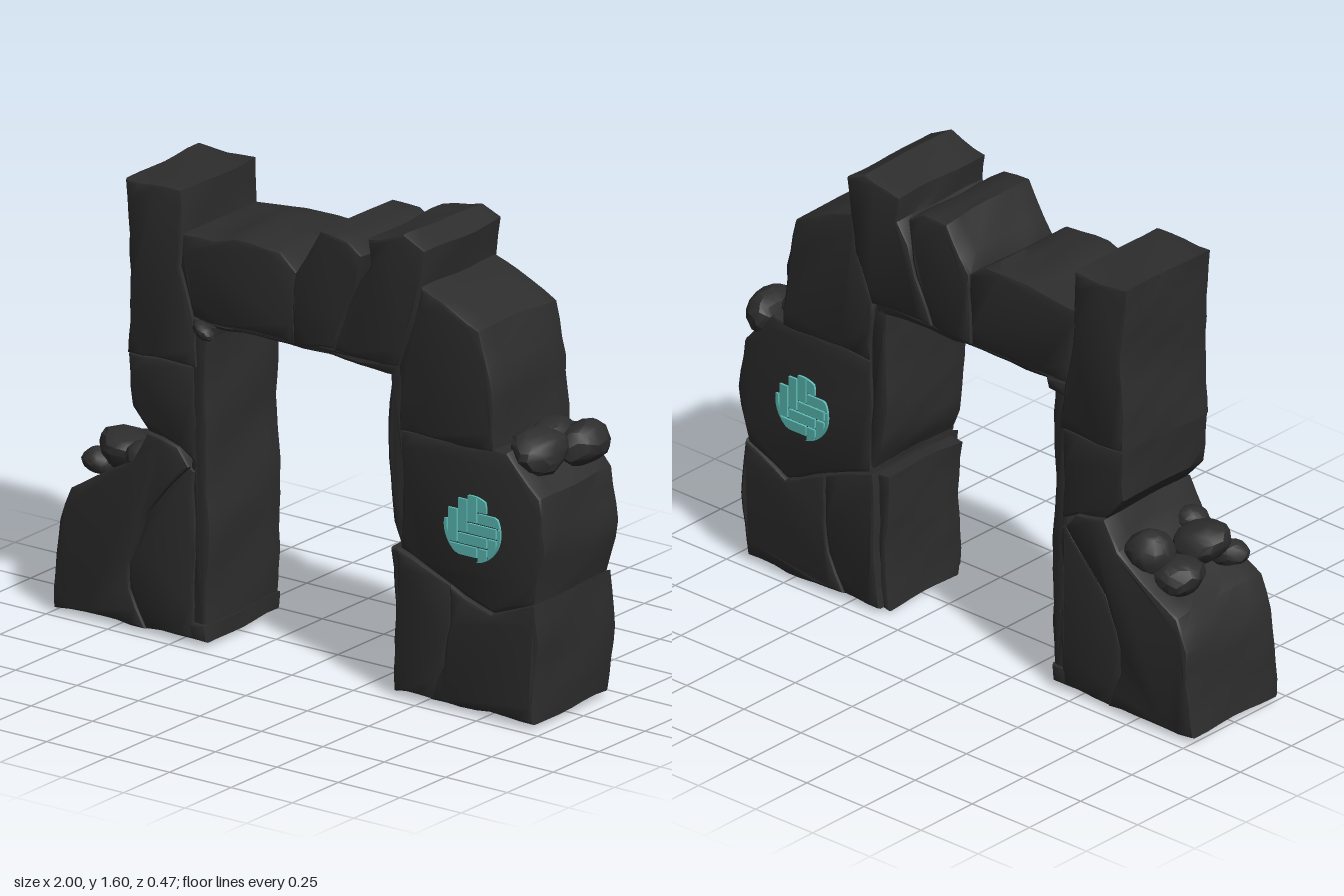
import * as THREE from 'three';
import { toCreasedNormals } from 'three/addons/utils/BufferGeometryUtils.js';

const stone = new THREE.MeshStandardMaterial({ color: 0x2d2d2d });
stone.name = 'dark stone';
const teal = new THREE.MeshStandardMaterial({ color: 0x5cbcb6 });
teal.name = 'teal inlay';

// Gentle wear: a smooth wobble of position, so neighbouring stones still meet
function weather(geometry, amount, zAmount = amount) {
  const p = geometry.attributes.position;
  for (let i = 0; i < p.count; i++) {
    const x = p.getX(i), y = p.getY(i), z = p.getZ(i);
    p.setXYZ(i,
      x + amount * (Math.sin(17 * y + 9 * z) + 0.5 * Math.sin(41 * y - 23 * z)),
      y + amount * (Math.sin(19 * x - 11 * z + 1) + 0.5 * Math.sin(37 * x + 21 * z)),
      z + zAmount * Math.sin(13 * x + 2) * Math.sin(15 * y + 1));
  }
  return toCreasedNormals(geometry, 0.6);
}

// Split outline edges into short runs so the wear shows
function subdivide(points) {
  const out = [];
  points.forEach(([x, y], i) => {
    const [u, v] = points[(i + 1) % points.length];
    const n = Math.max(1, Math.round(Math.hypot(u - x, v - y) / 0.06));
    for (let k = 0; k < n; k++) {
      out.push(new THREE.Vector2(x + (u - x) * k / n, y + (v - y) * k / n));
    }
  });
  return out;
}

// Stone block: front outline through the depth of the arch, with worn edges
function block(name, points, half = 0.21, bevel = 0.012, zWear = 0.004) {
  const geometry = new THREE.ExtrudeGeometry(new THREE.Shape(subdivide(points)), {
    depth: 2 * (half - bevel), steps: 6, bevelEnabled: true, bevelSize: bevel,
    bevelThickness: bevel, bevelOffset: -bevel, bevelSegments: 2,
  });
  geometry.translate(0, 0, bevel - half);
  const mesh = new THREE.Mesh(weather(geometry, 0.004, zWear), stone);
  mesh.name = name;
  return mesh;
}

// Loose lump of broken stone
function rock(name, x, y, z, sx, sy, sz, turn) {
  const geometry = new THREE.DodecahedronGeometry(1, 1);
  geometry.rotateZ(turn).rotateY(turn * 2).scale(sx, sy, sz).translate(x, y, z);
  const mesh = new THREE.Mesh(weather(geometry, 0.009), stone);
  mesh.name = name;
  return mesh;
}

// Round inlay of woven strips, trimmed to a circle
function medallion(name) {
  const group = new THREE.Group();
  group.name = name;
  const w = 0.04, gap = 0.003, radius = 0.115;
  const strip = (x0, y0, x1, y1) => {
    const cx = (x0 + x1) / 2, cy = (y0 + y1) / 2;
    if (Math.hypot(cx, cy) > radius + 0.015) return;
    const corners = [[x0 + gap, y0 + gap], [x1 - gap, y0 + gap], [x1 - gap, y1 - gap], [x0 + gap, y1 - gap]];
    const outline = [];
    corners.forEach(([x, y], i) => {
      const [u, v] = corners[(i + 1) % 4];
      for (let k = 0; k < 5; k++) {
        const p = new THREE.Vector2(x + (u - x) * k / 5, y + (v - y) * k / 5);
        outline.push(p.clampLength(0, radius));
      }
    });
    const mesh = new THREE.Mesh(new THREE.ExtrudeGeometry(new THREE.Shape(outline),
      { depth: 0.009, bevelEnabled: false }), teal);
    mesh.name = 'wovenStrip';
    group.add(mesh);
  };
  for (let i = -6; i <= 6; i++) {
    for (let j = -6; j <= 6; j++) {
      const phase = (((i - j) % 6) + 6) % 6;
      const x = (i - 0.5) * w, y = (j - 0.5) * w;
      if (phase === 0) strip(x, y, x + 3 * w, y + w);
      if (phase === 5) strip(x, y, x + w, y + 3 * w);
    }
  }
  return group;
}

export function createModel() {
  const model = new THREE.Group();
  model.name = 'ruinedArch';

  // Broken pier on the -x side
  const rightPier = new THREE.Group();
  rightPier.name = 'rightPier';
  rightPier.add(
    block('baseOuterStone', [[-1, 0.02], [-0.98, 0.33], [-0.93, 0.44], [-0.84, 0.49], [-0.68, 0.59], [-0.62, 0.7],
      [-0.5, 0.67], [-0.45, 0.61], [-0.62, 0.42], [-0.69, 0.24], [-0.69, 0.15], [-0.63, 0.02]], 0.215),
    block('baseInnerStone', [[-0.63, 0.02], [-0.69, 0.15], [-0.69, 0.24], [-0.62, 0.42], [-0.45, 0.61],
      [-0.43, 0.6], [-0.43, 0.02]], 0.21),
    block('middleStone', [[-0.7, 0.96], [-0.43, 0.96], [-0.43, 0.63], [-0.5, 0.67], [-0.62, 0.7], [-0.69, 0.78]], 0.205),
    block('tallStone', [[-0.71, 1.56], [-0.485, 1.56], [-0.48, 1.3], [-0.44, 1.13], [-0.42, 0.96],
      [-0.7, 0.96], [-0.69, 1.25]], 0.21),
    block('innerFacing', [[-0.45, 0.04], [-0.39, 0.04], [-0.375, 0.42], [-0.39, 0.7], [-0.385, 1.12], [-0.45, 1.12]], 0.2),
    block('footLip', [[-0.45, 0.02], [-0.385, 0.02], [-0.385, 0.08], [-0.45, 0.08]], 0.21),
    block('topLip', [[-0.45, 1.08], [-0.36, 1.08], [-0.35, 1.12], [-0.45, 1.13]], 0.205),
    rock('bracketChip', -0.4, 1.1, 0.21, 0.042, 0.03, 0.035, 0.4),
  );
  model.add(rightPier);

  // Rubble on the broken slope
  [[-0.79, 0.57, 0.07, 0.1, 0.075, 0.1, 0.3], [-0.84, 0.52, -0.08, 0.08, 0.07, 0.09, 1.1],
    [-0.74, 0.58, -0.12, 0.09, 0.07, 0.08, 2], [-0.86, 0.52, 0.13, 0.06, 0.045, 0.06, 0.8],
    [-0.68, 0.59, 0.14, 0.06, 0.05, 0.06, 1.6]]
    .forEach((r) => model.add(rock('slopeRubble', ...r)));

  // Lintel stones over the opening
  const lintel = new THREE.Group();
  lintel.name = 'lintel';
  lintel.add(
    block('lintelLongStone', [[-0.485, 1.41], [-0.36, 1.42], [-0.27, 1.44], [-0.09, 1.43], [-0.02, 1.38],
      [-0.03, 1.13], [-0.44, 1.13], [-0.48, 1.3]], 0.205),
    block('lintelMiddleStone', [[-0.02, 1.38], [0.08, 1.54], [0.19, 1.53], [0.25, 1.49], [0.22, 1.35],
      [0.14, 1.14], [-0.03, 1.13]], 0.21),
    block('lintelTopStone', [[0.24, 1.4], [0.29, 1.47], [0.28, 1.56], [0.43, 1.6], [0.51, 1.56], [0.49, 1.43],
      [0.47, 1.3], [0.4, 1.14], [0.14, 1.14], [0.22, 1.35]], 0.215),
    block('undersideSlab', [[-0.43, 1.11], [0, 1.115], [0.4, 1.1], [0.4, 1.15], [-0.43, 1.15]], 0.195),
  );
  model.add(lintel);

  // Pier on the +x side with the carved stone
  const leftPier = new THREE.Group();
  leftPier.name = 'leftPier';
  leftPier.add(
    block('shoulderStone', [[0.49, 1.43], [0.58, 1.4], [0.73, 1.33], [0.78, 1.15], [0.79, 0.92], [0.41, 0.92],
      [0.4, 1.14], [0.47, 1.3]], 0.21),
    block('carvedStone', [[0.41, 0.92], [0.84, 0.93], [0.97, 0.8], [0.995, 0.62], [0.95, 0.43], [0.78, 0.36],
      [0.61, 0.43], [0.41, 0.51]], 0.205, 0.015, 0),
    block('baseInnerStone', [[0.4, 0.51], [0.61, 0.43], [0.61, 0.3], [0.59, 0.15], [0.53, 0.02], [0.38, 0.02]], 0.21),
    block('baseOuterStone', [[0.61, 0.43], [0.78, 0.36], [0.96, 0.44], [0.97, 0.3], [0.95, 0.02], [0.53, 0.02],
      [0.59, 0.15], [0.61, 0.3]], 0.215),
    block('innerFacingUpper', [[0.355, 1.13], [0.42, 1.13], [0.42, 0.5], [0.37, 0.6], [0.35, 0.75], [0.35, 0.95]], 0.195),
    block('innerFacingLower', [[0.35, 0.5], [0.42, 0.5], [0.41, 0.02], [0.36, 0.005], [0.365, 0.25]], 0.18),
  );
  const front = medallion('frontMedallion');
  front.position.set(0.705, 0.645, 0.204);
  const back = medallion('backMedallion');
  back.position.set(0.705, 0.645, -0.204);
  back.rotation.y = Math.PI;
  leftPier.add(front, back);
  model.add(leftPier);

  // Rubble caught on the ledge
  [[0.88, 0.92, 0.07, 0.085, 0.075, 0.11, 0.5], [0.91, 0.89, -0.12, 0.075, 0.08, 0.115, 1.3],
    [0.83, 0.94, -0.06, 0.06, 0.05, 0.09, 2.1]]
    .forEach((r) => model.add(rock('ledgeRubble', ...r)));

  return model;
}
